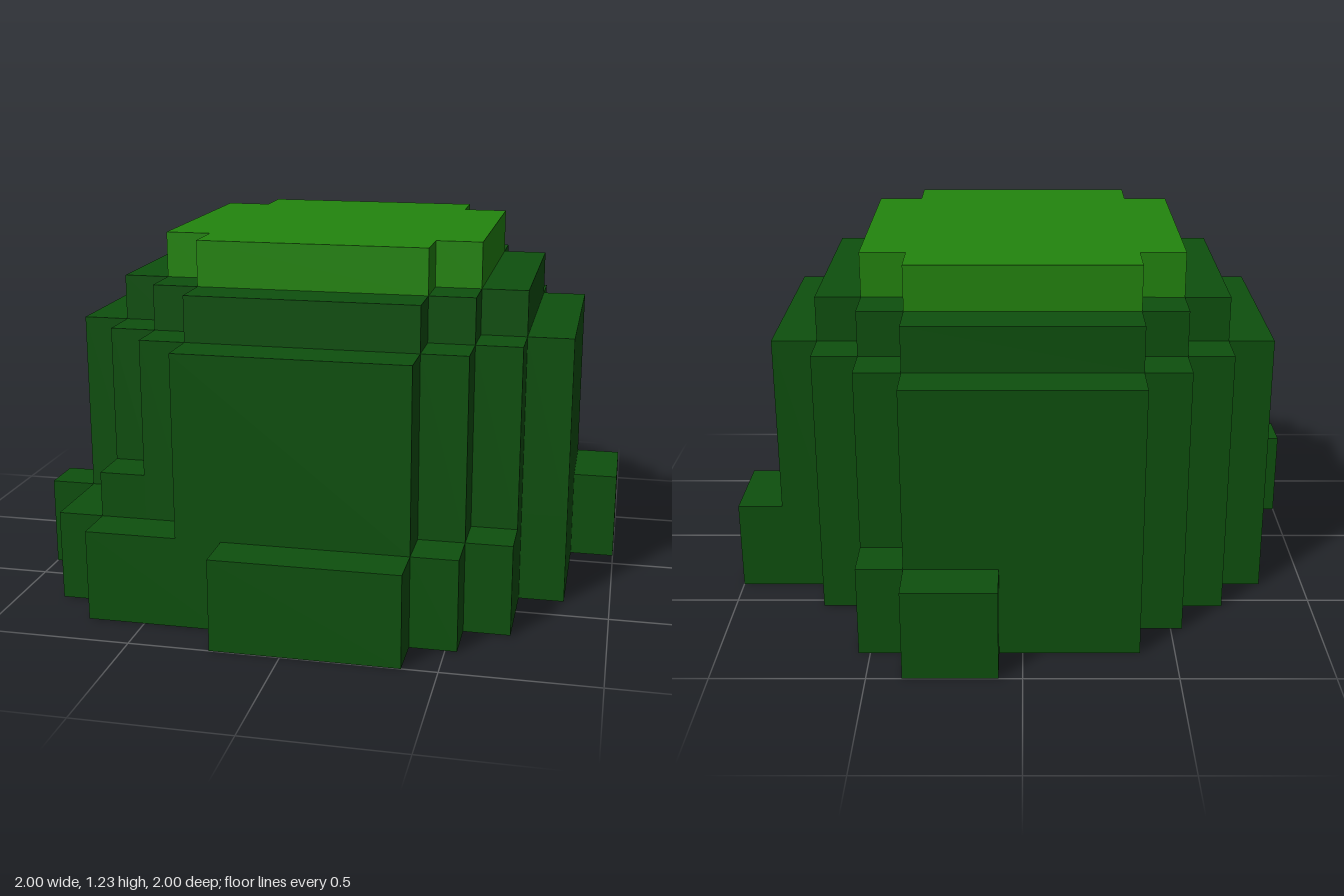
import * as THREE from 'three';

// One block of the grid; the model is 13 blocks wide
const CELL = 2 / 13;

export function createModel() {
  const group = new THREE.Group();
  group.name = 'blockyBush';

  const darkLeaf = new THREE.MeshStandardMaterial({ color: 0x0e500e });
  darkLeaf.name = 'darkLeaf';
  const lightLeaf = new THREE.MeshStandardMaterial({ color: 0x23850e });
  lightLeaf.name = 'lightLeaf';

  // Raises an [x, z] outline, in blocks, between two heights
  function addLayer(name, outline, bottom, top, material) {
    const shape = new THREE.Shape(
      outline.map(([x, z]) => new THREE.Vector2(x * CELL, -z * CELL)));
    const geometry = new THREE.ExtrudeGeometry(shape, {
      depth: (top - bottom) * CELL, bevelEnabled: false,
    });
    geometry.rotateX(-Math.PI / 2);
    geometry.translate(0, bottom * CELL, 0);
    const mesh = new THREE.Mesh(geometry, material);
    mesh.name = name;
    group.add(mesh);
  }

  // Symmetric disc with diagonal stair-step corners
  function steppedDisc(radius) {
    const corner = [];
    for (let x = 2.5, z = radius; z >= 2.5; x++, z--) {
      corner.push([x, z]);
      if (z > 2.5) corner.push([x, z - 1]);
    }
    const outline = [];
    for (let i = 0; i < 4; i++) {
      for (const [x, z] of corner) {
        outline.push([[x, z], [z, -x], [-x, -z], [-z, x]][i]);
      }
    }
    return outline;
  }

  // Uneven skirt of leaves on the ground, clockwise from the back
  const skirt = [
    [-2.5, -5.5], [0.5, -5.5], [0.5, -6.5], [2.5, -6.5], [2.5, -5.5], [3.5, -5.5],
    [3.5, -3.5], [4.5, -3.5], [4.5, -2.5], [6.5, -2.5], [6.5, -0.5], [5.5, -0.5],
    [5.5, 2.5], [4.5, 2.5], [4.5, 4.5], [3.5, 4.5], [3.5, 5.5], [2.5, 5.5],
    [2.5, 6.5], [-1.5, 6.5], [-1.5, 5.5], [-4.5, 5.5], [-4.5, 4.5], [-5.5, 4.5],
    [-5.5, 2.5], [-6.5, 2.5], [-6.5, 1.5], [-5.5, 1.5], [-5.5, -2.5], [-4.5, -2.5],
    [-4.5, -3.5], [-3.5, -3.5], [-3.5, -4.5], [-2.5, -4.5],
  ];
  addLayer('skirt', skirt, 0, 2, darkLeaf);

  // Single taller block on the front corner
  addLayer('cornerTuft', [[-4.5, 3.5], [-3.5, 3.5], [-3.5, 4.5], [-4.5, 4.5]], 2, 3, darkLeaf);

  // Rounded body, shoulder and bright crown
  addLayer('body', steppedDisc(5.5), 2, 6, darkLeaf);
  addLayer('shoulder', steppedDisc(4.5), 6, 7, darkLeaf);
  addLayer('crown', steppedDisc(3.5), 7, 8, lightLeaf);

  return group;
}
